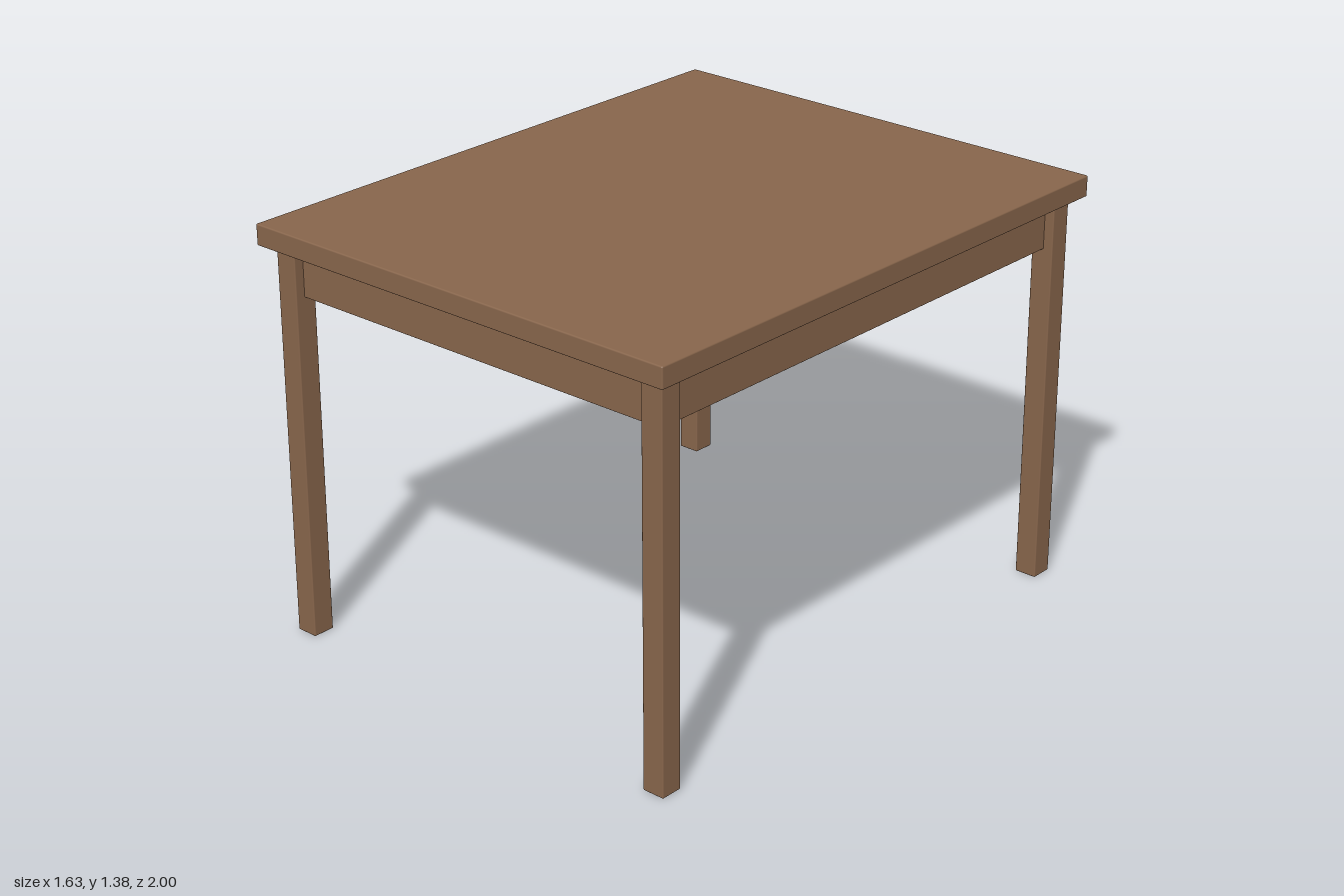
import * as THREE from 'three';
import { RoundedBoxGeometry } from 'three/addons/geometries/RoundedBoxGeometry.js';

export function createModel() {
  const table = new THREE.Group();
  table.name = 'table';
  const wood = new THREE.MeshStandardMaterial({ color: 0x87654b });
  wood.name = 'brown wood';

  // Softly eased board, placed by its centre
  function board(name, w, h, d, x, y, z, radius) {
    const mesh = new THREE.Mesh(new RoundedBoxGeometry(w, h, d, 2, radius), wood);
    mesh.name = name;
    mesh.position.set(x, y, z);
    table.add(mesh);
  }

  const apronY = 1.23, apronH = 0.16;

  board('tableTop', 1.63, 0.07, 2, 0, 1.345, 0, 0.005);

  for (const s of [-1, 1]) {
    // Legs at the four corners
    for (const t of [-1, 1]) {
      const name = (t > 0 ? 'front' : 'back') + (s > 0 ? 'Left' : 'Right') + 'Leg';
      board(name, 0.077, 1.31, 0.077, s * 0.737, 0.655, t * 0.919, 0.004);
    }
    // Aprons run between the legs, set back from their outer faces
    board(s > 0 ? 'leftApron' : 'rightApron', 0.024, apronH, 1.77, s * 0.73, apronY, 0, 0.002);
    board(s > 0 ? 'frontApron' : 'backApron', 1.41, apronH, 0.024, 0, apronY, s * 0.912, 0.002);
  }

  return table;
}
